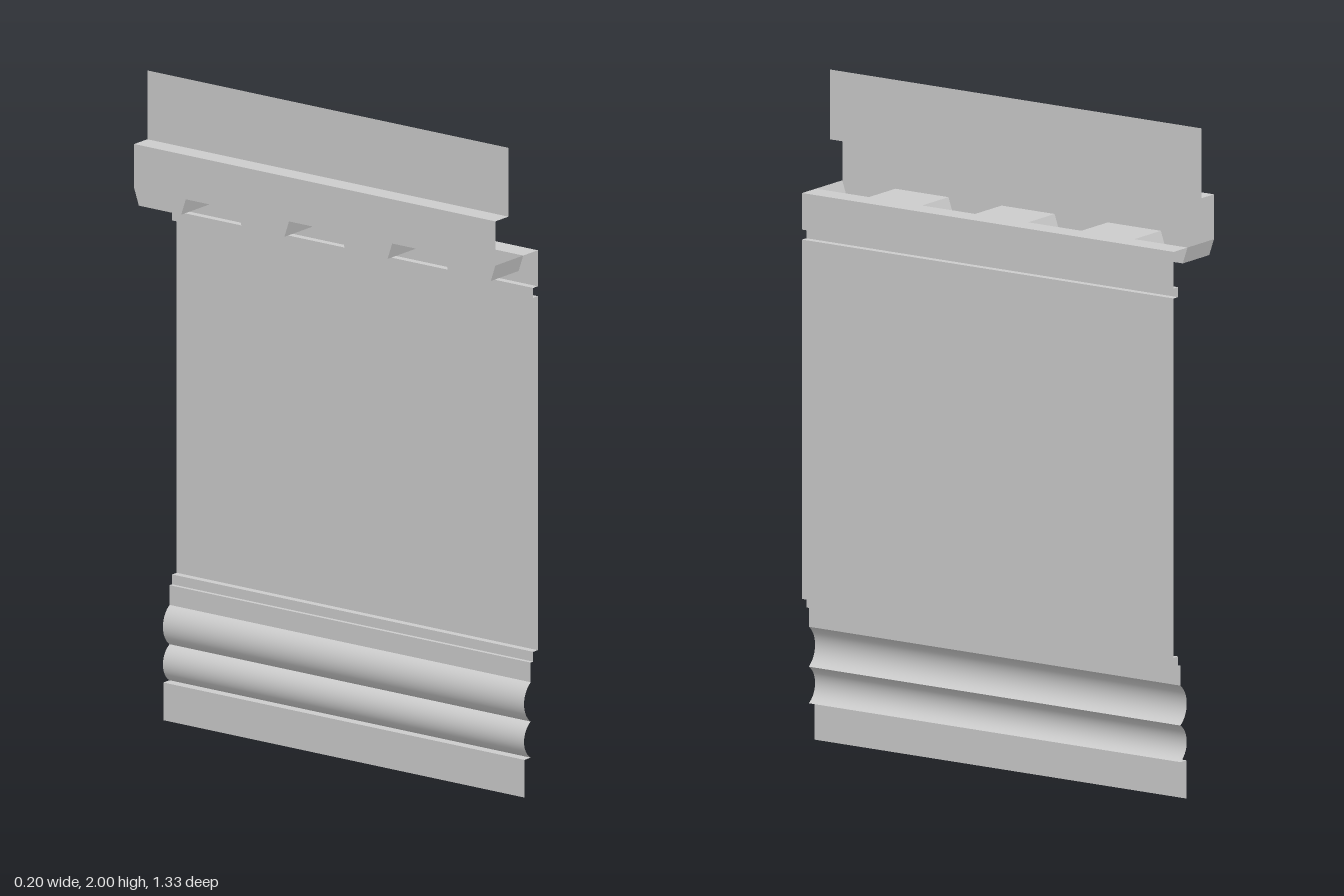
import * as THREE from 'three';

const HALF = 0.667;                       // half length along z
const BACK = -0.102, FACE = 0.102;        // rear wall and front panel planes
const LIP = 0.032;                        // front edge of the dentil pockets
const SHELF = 1.655, TOOTH = 1.605, LEDGE = 1.79;

const material = new THREE.MeshStandardMaterial({ color: 0xcccccc, side: THREE.DoubleSide });

// Sweeps an open line of [u, y] points between two positions along z (or x).
function sweep(name, pts, { axis = 'z', from = -HALF, to = HALF, smooth = false } = {}) {
  const pos = [], index = [];
  pts.forEach(([u, y], i) => {
    for (const t of [from, to]) pos.push(...(axis === 'z' ? [u, y, t] : [t, y, u]));
    if (i) {
      const a = 2 * i - 2;
      index.push(a + 1, a, a + 3, a, a + 2, a + 3);
    }
  });
  let geo = new THREE.BufferGeometry();
  geo.setAttribute('position', new THREE.Float32BufferAttribute(pos, 3));
  geo.setIndex(index);
  if (!smooth) geo = geo.toNonIndexed();
  geo.computeVertexNormals();
  const mesh = new THREE.Mesh(geo, material);
  mesh.name = name;
  return mesh;
}

// Flat sheet in the plane of constant x, outlined by [z, y] points.
function sheet(name, outline, x) {
  const geo = new THREE.ShapeGeometry(new THREE.Shape(outline.map(([z, y]) => new THREE.Vector2(z, y))));
  geo.rotateY(-Math.PI / 2).translate(x, 0, 0);
  const mesh = new THREE.Mesh(geo, material);
  mesh.name = name;
  return mesh;
}

// Hollow arc between two heights, scooped back from x.
function cove(x, y0, y1, depth) {
  const h = (y1 - y0) / 2, r = (h * h + depth * depth) / (2 * depth);
  const cx = x - depth + r, half = Math.asin(h / r);
  return Array.from({ length: 17 }, (_, i) => {
    const a = half * (i / 8 - 1);
    return [cx - r * Math.cos(a), (y0 + y1) / 2 + r * Math.sin(a)];
  });
}

export function createModel() {
  const model = new THREE.Group();
  model.name = 'wallTrimSection';

  // Base strip and two scooped mouldings
  model.add(sweep('baseStrip', [[0.038, 0], [0.038, 0.115], [0.068, 0.115]]));
  model.add(sweep('lowerCove', cove(0.068, 0.115, 0.225, 0.032), { smooth: true }));
  model.add(sweep('upperCove', cove(0.068, 0.225, 0.345, 0.032), { smooth: true }));

  // Stepped fillets, main panel, groove and frieze
  model.add(sweep('panel', [
    [0.068, 0.345], [0.068, 0.405], [0.08, 0.405], [0.08, 0.435],
    [FACE, 0.435], [FACE, 1.515], [0.08, 1.515], [0.08, 1.545],
    [FACE, 1.545], [FACE, SHELF], [LIP, SHELF],
  ]));

  // Row of four hanging pockets with slanted ends, joined by flat shelf pieces
  const pitch = 2 * HALF / 7, slant = 0.017;
  const course = [];
  for (let i = 0; i < 4; i++) {
    const z0 = -HALF + 2 * i * pitch, z1 = z0 + pitch;
    const tooth = [[z0, SHELF], [z0 + slant, TOOTH], [z1 - slant, TOOTH], [z1, SHELF]];
    course.push(...tooth);
    model.add(sheet('dentilFront', tooth, LIP));
  }
  model.add(sweep('dentilCourse', course, { axis: 'x', from: BACK, to: LIP }));

  // Rear wall with a toothed lower edge, ledge and top strip
  model.add(sheet('dentilBack', [...course, [HALF, LEDGE], [-HALF, LEDGE]], BACK));
  model.add(sweep('topStrip', [[BACK, LEDGE], [-0.039, LEDGE], [-0.039, 2]]));

  return model;
}
